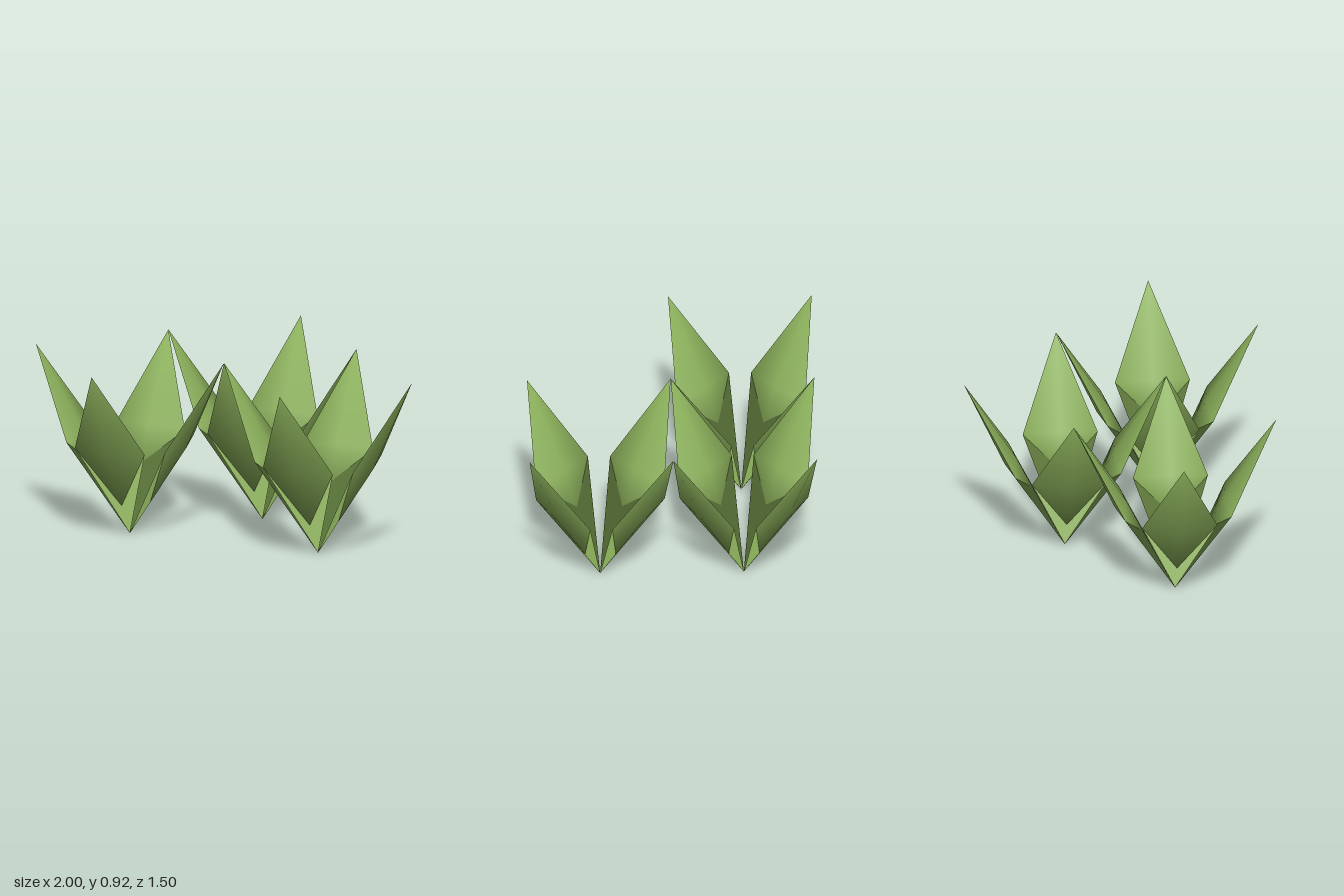
import * as THREE from 'three';

const leafGreen = new THREE.MeshStandardMaterial({ color: 0x8aaf5a });
leafGreen.name = 'leafGreen';

// Key points of one leaf leaning out along +z from its plant's base
const base = new THREE.Vector3(0, 0, 0);
const tip = new THREE.Vector3(0, 0.915, 0.5);
const right = new THREE.Vector3(0.185, 0.48, 0.262);
const left = new THREE.Vector3(-0.185, 0.48, 0.262);
const along = tip.clone().normalize();

// One side of the leaf: a softly domed kite panel and two foot facets below it
function leafSide(ridge, footAt, facing, positions, normals) {
  const foot = ridge.clone().multiplyScalar(footAt);
  const face = new THREE.Vector3(0, -along.z, along.y).multiplyScalar(facing);
  const tilt = (x, s) => face.clone().addScaledVector(along, s).add(new THREE.Vector3(x, 0, 0)).normalize();
  const footNormal = new THREE.Vector3(0, 0.4, 0.9).normalize();

  const centre = [ridge, tilt(0, 0)];
  const rim = [
    [right, tilt(0.8, 0)], [tip, tilt(0, 0.4)],
    [left, tilt(-0.8, 0)], [foot, tilt(0, -0.8)],
  ];
  const triangles = rim.map((corner, i) => [centre, corner, rim[(i + 1) % 4]]);
  const flat = (...points) => points.map((p) => [p, footNormal]);
  triangles.push(flat(base, right, foot), flat(base, foot, left));

  for (const triangle of triangles) {
    if (facing < 0) triangle.reverse();
    for (const [p, n] of triangle) {
      positions.push(p.x, p.y, p.z);
      normals.push(n.x, n.y, n.z);
    }
  }
}

function leafGeometry() {
  const positions = [], normals = [];
  leafSide(new THREE.Vector3(0, 0.46, 0.297), 0.36, 1, positions, normals);
  leafSide(new THREE.Vector3(0, 0.496, 0.242), 0.65, -1, positions, normals);
  const geometry = new THREE.BufferGeometry();
  geometry.setAttribute('position', new THREE.Float32BufferAttribute(positions, 3));
  geometry.setAttribute('normal', new THREE.Float32BufferAttribute(normals, 3));
  return geometry;
}

export function createModel() {
  const model = new THREE.Group();
  model.name = 'leafCluster';
  const geometry = leafGeometry();

  // Three plants with four crossed leaves each
  for (const [x, z] of [[-0.5, 0.25], [0.5, 0.25], [0, -0.25]]) {
    const plant = new THREE.Group();
    plant.name = 'plant';
    plant.position.set(x, 0, z);
    for (let i = 0; i < 4; i++) {
      const leaf = new THREE.Mesh(geometry, leafGreen);
      leaf.name = 'leaf';
      leaf.rotation.y = i * Math.PI / 2;
      plant.add(leaf);
    }
    model.add(plant);
  }
  return model;
}
